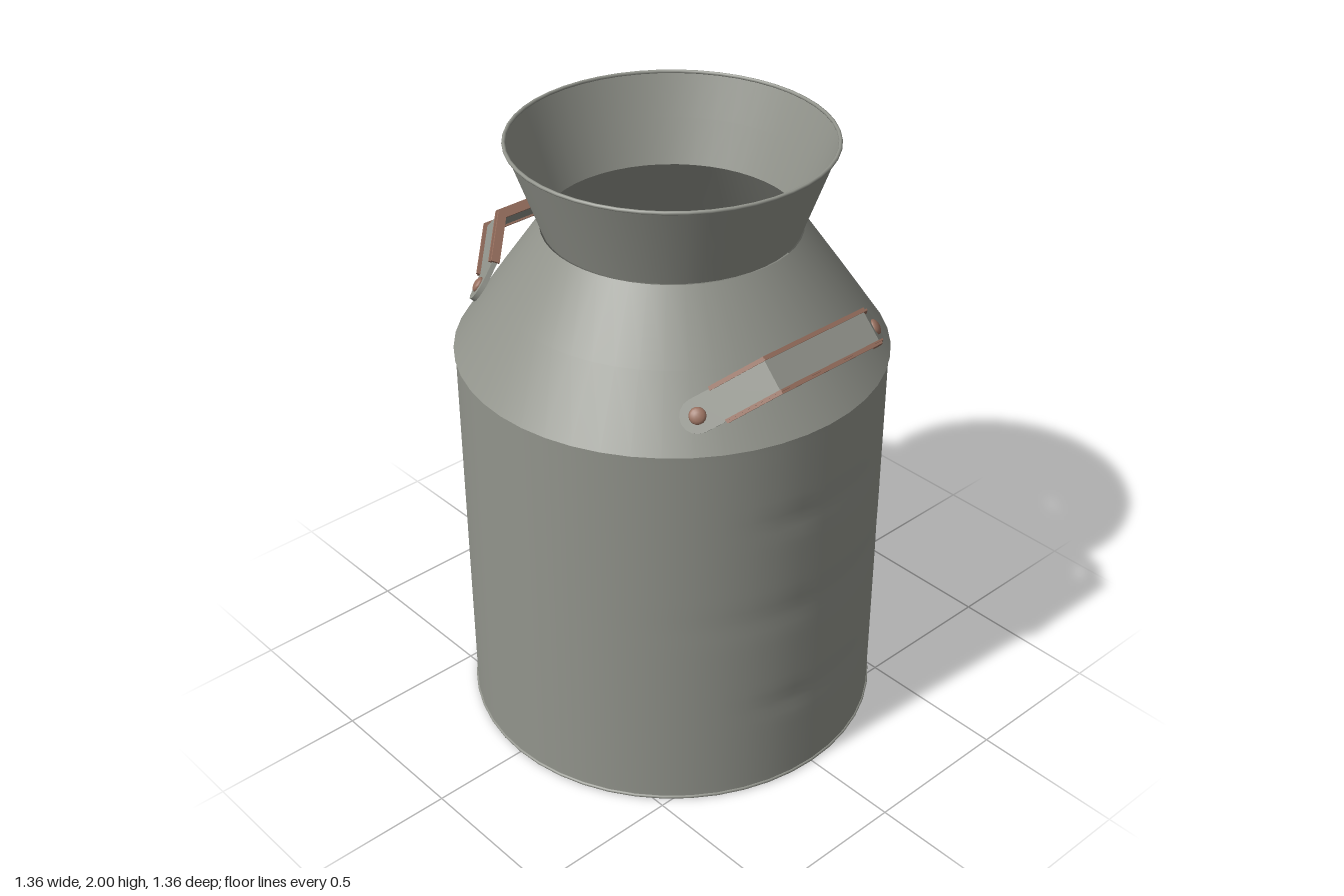
import * as THREE from 'three';
import { mergeVertices } from 'three/addons/utils/BufferGeometryUtils.js';

const steel = new THREE.MeshStandardMaterial({ color: 0x92948c, side: THREE.DoubleSide });
steel.name = 'dull steel';
const copper = new THREE.MeshStandardMaterial({ color: 0x98705f, side: THREE.DoubleSide });
copper.name = 'worn copper';

const SEGMENTS = 48;

function add(parent, name, geometry, material) {
  const mesh = new THREE.Mesh(geometry, material);
  mesh.name = name;
  parent.add(mesh);
  return mesh;
}

// Smooth turned shell with a welded seam; move(v) may shift its vertices
function turned(points, move) {
  let g = new THREE.LatheGeometry(points.map(([r, y]) => new THREE.Vector2(r, y)), SEGMENTS);
  g.deleteAttribute('uv');
  g.deleteAttribute('normal');
  if (move) {
    const p = g.attributes.position, v = new THREE.Vector3();
    for (let i = 0; i < p.count; i++) {
      move(v.fromBufferAttribute(p, i));
      p.setXYZ(i, v.x, v.y, v.z);
    }
  }
  g = mergeVertices(g, 1e-4);
  g.computeVertexNormals();
  return g;
}

// Shallow dents: angle, height, angular spread, height spread, depth
const DENTS = [];
for (const side of [Math.PI / 2, -Math.PI / 2]) {
  for (const y of [1.02, 0.32]) {
    DENTS.push([side - 0.13, y, 0.14, 0.04, 0.008], [side + 0.17, y, 0.14, 0.04, 0.008]);
  }
  DENTS.push([side, 0.68, 0.5, 0.05, 0.006]);
}
function dent(v) {
  const angle = Math.atan2(v.x, v.z);
  let scale = 1;
  for (const [a, y, da, dy, depth] of DENTS) {
    scale -= depth * Math.exp(-(((angle - a) / da) ** 2) - ((v.y - y) / dy) ** 2);
  }
  v.x *= scale;
  v.z *= scale;
}

// Folded strip outline: a path thickened from offset a to offset b
function stripShape(path, a, b) {
  const pts = path.map(([x, y]) => new THREE.Vector2(x, y));
  const normal = (p, q) => new THREE.Vector2(p.y - q.y, q.x - p.x).normalize();
  const offset = (d) => pts.map((p, i) => {
    const n0 = normal(pts[Math.max(i - 1, 0)], pts[Math.max(i, 1)]);
    const last = pts.length - 1;
    const n1 = normal(pts[Math.min(i, last - 1)], pts[Math.min(i + 1, last)]);
    const n = n0.clone().add(n1).normalize();
    return p.clone().addScaledVector(n, d / n.dot(n0));
  });
  return new THREE.Shape([...offset(a), ...offset(b).reverse()]);
}

function strip(path, a, b, from, to) {
  const g = new THREE.ExtrudeGeometry(stripShape(path, a, b), { depth: to - from, bevelEnabled: false });
  g.translate(0, 0, from);
  return g;
}

function makeHandle() {
  const handle = new THREE.Group();
  handle.name = 'handle';
  const half = 0.052;
  const right = [[0.2, 0.175], [0.31, 0.04], [0.365, 0.0]];
  const path = [...right.map(([x, y]) => [-x, y]).reverse(), ...right];

  // Grey strap with copper edges
  add(handle, 'strap', strip(path, -0.008, 0.008, -half, half), steel);
  const edgePath = path.slice(1, -1);
  for (const s of [-1, 1]) {
    const a = s * half, b = s * (half + 0.007);
    add(handle, 'strapEdge', strip(edgePath, -0.014, 0.014, Math.min(a, b), Math.max(a, b)), copper);
    add(handle, 'strapLip', strip(edgePath, 0.008, 0.02, Math.min(a, a - s * 0.006), Math.max(a, a - s * 0.006)), copper);
  }

  // Rounded feet and rivets
  for (const s of [-1, 1]) {
    const foot = new THREE.Group();
    foot.name = 'foot';
    foot.position.set(s * 0.365, 0, 0);
    foot.rotation.z = -s * Math.atan2(0.04, 0.055);
    add(foot, 'footPlate', new THREE.CylinderGeometry(half, half, 0.016, 16), steel);
    const rivet = add(foot, 'rivet', new THREE.SphereGeometry(0.026, 14, 8), copper);
    rivet.scale.y = 0.5;
    rivet.position.y = 0.009;
    handle.add(foot);
  }

  // Lean the handle outward from the shoulder
  const out = new THREE.Vector3(0.72, 0.69, 0).normalize();
  const along = new THREE.Vector3(0, 0, 1);
  const across = new THREE.Vector3().crossVectors(along, out);
  handle.quaternion.setFromRotationMatrix(new THREE.Matrix4().makeBasis(along, out, across));
  handle.position.set(0.505, 1.42, 0);
  return handle;
}

export function createModel() {
  const can = new THREE.Group();
  can.name = 'milkCan';

  // Shell
  const wall = [];
  for (let i = 0; i <= 44; i++) wall.push([0.675, 0.005 + (1.315 * i) / 44]);
  add(can, 'body', turned(wall, dent), steel);
  add(can, 'shoulder', turned([[0.68, 1.315], [0.54, 1.52], [0.4, 1.72]]), steel);
  add(can, 'neck', turned([[0.395, 1.72], [0.445, 1.86], [0.492, 1.992]]), steel);

  const base = add(can, 'base', new THREE.CircleGeometry(0.676, SEGMENTS), steel);
  base.rotation.x = -Math.PI / 2;
  base.position.y = 0.006;

  // Rolled rims
  for (const [name, r, y] of [['topRim', 0.494, 1.994], ['bottomRim', 0.674, 0.006]]) {
    const rim = add(can, name, new THREE.TorusGeometry(r, 0.006, 8, SEGMENTS), steel);
    rim.rotation.x = Math.PI / 2;
    rim.position.y = y;
  }

  // Small copper patch low on the back
  const angle = Math.atan2(-0.525, -0.413);
  const patch = add(can, 'patch', new THREE.BoxGeometry(0.08, 0.05, 0.008), copper);
  patch.position.set(Math.sin(angle) * 0.674, 0.03, Math.cos(angle) * 0.674);
  patch.rotation.y = angle;

  // Handles on both sides
  can.add(makeHandle());
  const opposite = new THREE.Group();
  opposite.name = 'oppositeHandle';
  opposite.add(makeHandle());
  opposite.rotation.y = Math.PI;
  opposite.position.set(0.012, 0.012, 0);
  can.add(opposite);

  return can;
}
